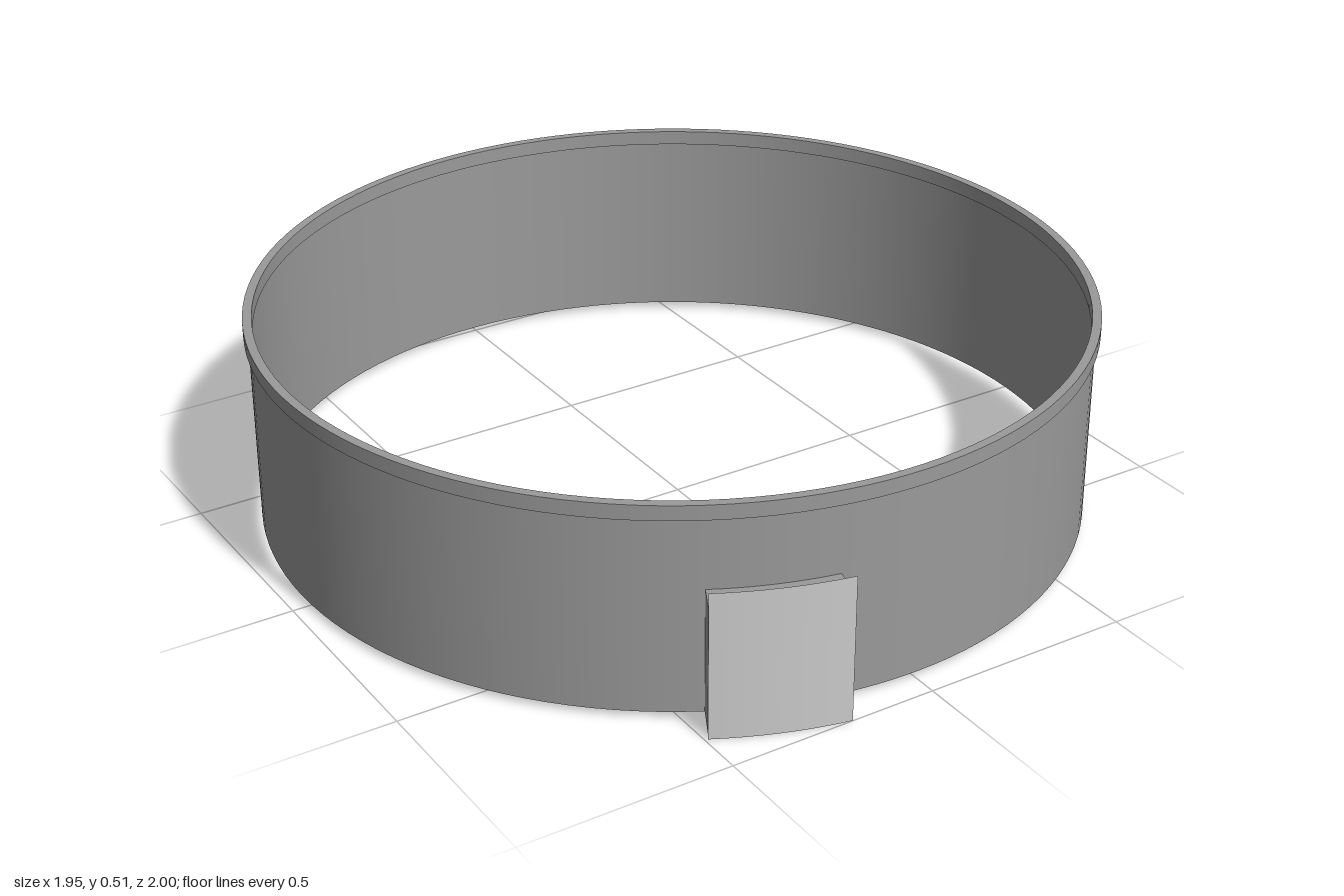
import * as THREE from 'three';

const grey = (color) => new THREE.MeshStandardMaterial({ color, side: THREE.DoubleSide });
const dark = grey(0x9a9a9a), light = grey(0xcccccc);
const WALL = 0.965, FRONT = 1.044;          // radii of band and housing panel
const BASE = 0.015, BOX_TOP = 0.31, LIP = 0.477, TOP = 0.512;
const A0 = THREE.MathUtils.degToRad(-28.2), A1 = THREE.MathUtils.degToRad(-11.3);
const TURN = Math.PI * 2;

// Thin sheet swept around the y axis from a two-point profile [r, y]
function sweep(name, p, q, from = 0, to = TURN, material = dark) {
  const segments = Math.max(8, Math.round(128 * (to - from) / TURN));
  const points = [p, q].map(([r, y]) => new THREE.Vector2(r, y));
  const mesh = new THREE.Mesh(new THREE.LatheGeometry(points, segments, from, to - from), material);
  mesh.name = name;
  return mesh;
}

export function createModel() {
  const model = new THREE.Group();
  model.name = 'ringWithHousing';

  // Band, left open behind the housing
  const band = new THREE.Group();
  band.name = 'band';
  band.add(
    sweep('bandWall', [WALL, BASE], [WALL, LIP], A1, A0 + TURN),
    sweep('bandAboveOpening', [WALL, BOX_TOP], [WALL, LIP], A0, A1)
  );

  // Rim lip with a rectangular section
  const lip = new THREE.Group();
  lip.name = 'rimLip';
  const section = [[0.954, LIP], [0.975, LIP], [0.975, TOP], [0.954, TOP]];
  section.forEach((p, i) => lip.add(sweep('lipFace' + (i + 1), p, section[(i + 1) % 4])));

  // Housing: light curved front panel, dark top and bottom plates and radial sides
  const housing = new THREE.Group();
  housing.name = 'housing';
  housing.add(
    sweep('frontPanel', [FRONT, 0], [FRONT, 0.35], A0, A1, light),
    sweep('topPlate', [FRONT, BOX_TOP], [WALL, BOX_TOP], A0, A1),
    sweep('bottomPlate', [WALL, BASE], [FRONT, BASE], A0, A1)
  );
  for (const [name, angle] of [['rightSide', A0], ['leftSide', A1]]) {
    const plane = new THREE.PlaneGeometry(FRONT - WALL, BOX_TOP - BASE);
    plane.translate((FRONT + WALL) / 2, (BOX_TOP + BASE) / 2, 0);
    plane.rotateY(angle - Math.PI / 2);
    const side = new THREE.Mesh(plane, dark);
    side.name = name;
    housing.add(side);
  }

  model.add(band, lip, housing);
  // Shift back so the housing and ring together are centred
  for (const part of model.children) part.position.z = -0.024;
  return model;
}
